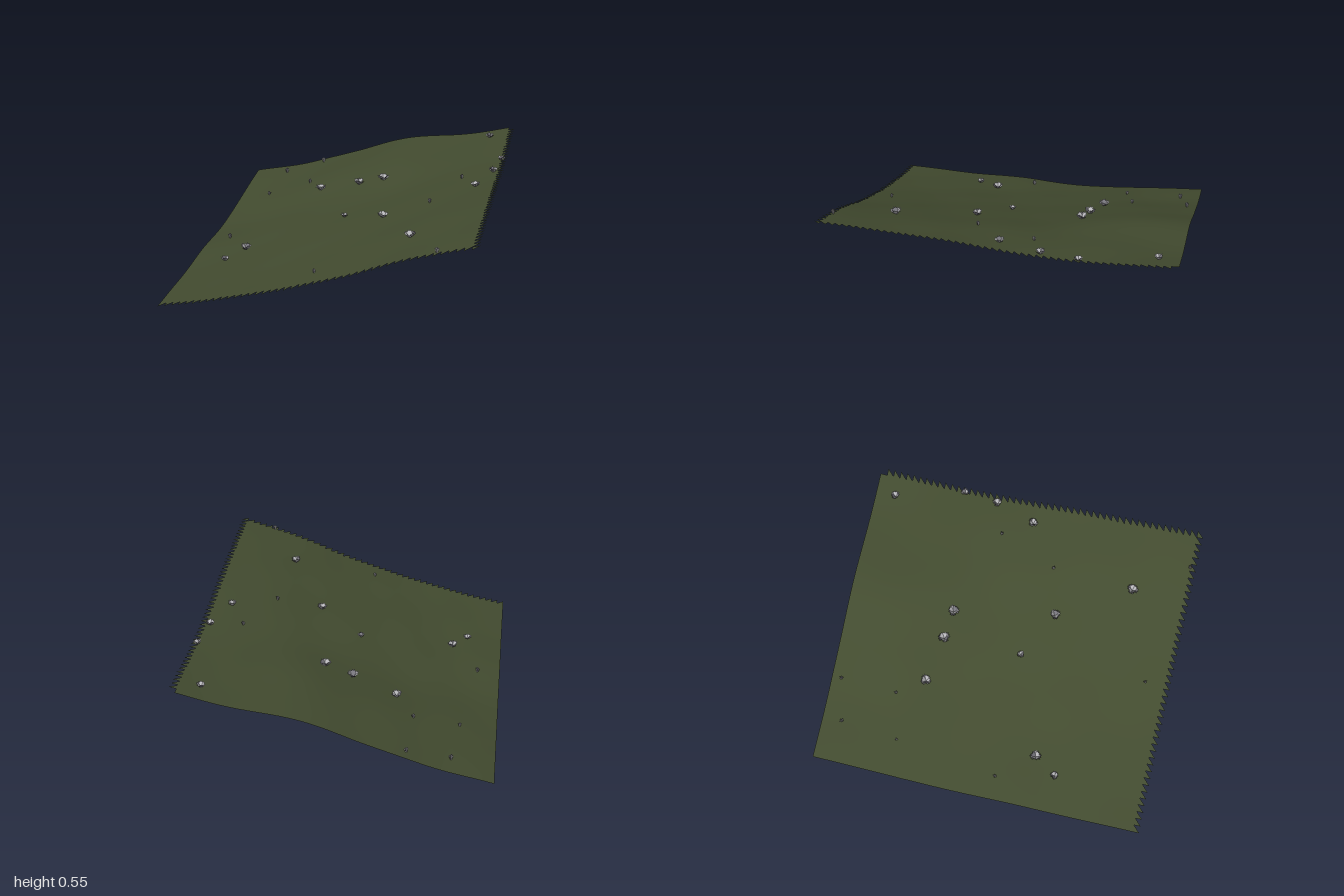
import * as THREE from 'three';

const grass = new THREE.MeshStandardMaterial({ color: 0x434c30, side: THREE.DoubleSide });
grass.name = 'mossGreen';
const paleLeaf = new THREE.MeshStandardMaterial({ color: 0xb9b8bc, side: THREE.DoubleSide });
paleLeaf.name = 'paleGrey';
const darkLeaf = new THREE.MeshStandardMaterial({ color: 0x77757d, side: THREE.DoubleSide });
darkLeaf.name = 'dustyGrey';

// Control heights: rows run back to front, columns right to left
const HEIGHTS = [
  [0.065, 0.145, 0.265, 0.385, 0.433, 0.515],
  [0.036, 0.130, 0.250, 0.368, 0.425, 0.492],
  [0.004, 0.102, 0.207, 0.322, 0.425, 0.490],
  [0.022, 0.100, 0.205, 0.320, 0.435, 0.523],
  [0.020, 0.100, 0.200, 0.320, 0.445, 0.545],
  [0.030, 0.105, 0.200, 0.318, 0.453, 0.555],
];

// Smooth curve through evenly spaced values, t from 0 to 1
function spline(v, t) {
  const n = v.length - 1;
  const i = Math.min(n - 1, Math.floor(t * n));
  const f = t * n - i;
  const b = v[i], c = v[i + 1];
  const a = i > 0 ? v[i - 1] : 2 * b - c;
  const d = i + 2 <= n ? v[i + 2] : 2 * c - b;
  return b + 0.5 * f * (c - a + f * (2 * a - 5 * b + 4 * c - d + f * (3 * (b - c) + d - a)));
}

function heightAt(x, z) {
  const u = THREE.MathUtils.clamp((x + 0.88) / 1.752, 0, 1);
  const v = THREE.MathUtils.clamp((z + 1) / 2, 0, 1);
  const ripple = 0.0025 * Math.sin(11 * x + 3 * z) * Math.sin(9 * z - 4 * x);
  return Math.max(0, spline(HEIGHTS.map((row) => spline(row, u)), v) + ripple);
}

// Sloping ground, with half cells forming the serrated left and front edges
function makeGround() {
  const nx = 43, nz = 49, step = 1.752 / (nx + 1);
  const positions = [], index = [];
  for (let j = 0; j <= nz + 1; j++) {
    for (let i = 0; i <= nx + 1; i++) {
      const x = -0.88 + i * step, z = -1 + (j * 1.995) / (nz + 1);
      positions.push(x, heightAt(x, z), z);
    }
  }
  for (let j = 0; j <= nz; j++) {
    for (let i = 0; i <= nx; i++) {
      if (i === nx && j === 0) continue;
      const a = j * (nx + 2) + i, b = a + nx + 2;
      index.push(a, b, a + 1);
      if (i < nx && j < nz) index.push(a + 1, b, b + 1);
    }
  }
  const g = new THREE.BufferGeometry();
  g.setAttribute('position', new THREE.Float32BufferAttribute(positions, 3));
  g.setIndex(index);
  g.computeVertexNormals();
  const mesh = new THREE.Mesh(g, grass);
  mesh.name = 'ground';
  return mesh;
}

// Ragged leaf spray, narrow at the root and jagged at the tip
const spray = new THREE.ShapeGeometry(new THREE.Shape([
  [-0.004, 0], [0.004, 0], [0.013, 0.022], [0.016, 0.034], [0.009, 0.031], [0.007, 0.042],
  [0.001, 0.034], [-0.006, 0.043], [-0.008, 0.031], [-0.016, 0.035], [-0.012, 0.02],
].map(([x, y]) => new THREE.Vector2(x, y))));

// Ring of sprays leaning outward by the given angle
function makeTuft(name, x, z, size, count, lean, turn) {
  const tuft = new THREE.Group();
  tuft.name = name;
  for (let k = 0; k < count; k++) {
    const leaf = new THREE.Mesh(spray, k % 3 === 1 ? darkLeaf : paleLeaf);
    leaf.name = 'leafSpray';
    leaf.rotation.order = 'YXZ';
    leaf.rotation.y = turn + (k / count) * Math.PI * 2;
    leaf.rotation.x = lean * (k % 2 ? 1 : 0.75);
    tuft.add(leaf);
  }
  tuft.scale.setScalar(size);
  tuft.position.set(x, heightAt(x, z) - 0.002, z);
  return tuft;
}

export function createModel() {
  const model = new THREE.Group();
  model.name = 'hillside';
  model.add(makeGround());

  // Spreading tufts: x, z, size
  [
    [0.72, -0.88, 0.9], [-0.3, -0.44, 1.1], [-0.04, -0.39, 1.15], [0.12, -0.37, 1.15],
    [0.835, -0.47, 0.8], [0.81, -0.26, 0.95], [0.73, -0.02, 0.95], [-0.03, 0.08, 0.75],
    [0.23, 0.23, 1.05], [-0.58, 0.3, 1.1], [-0.665, 0.435, 0.85], [0.46, 0.65, 1.1],
  ].forEach(([x, z, s], i) => model.add(makeTuft('spreadingTuft', x, z, s, 7, 0.85, i * 1.3)));

  // Upright tufts: x, z, size
  [
    [0.65, 0.955, 0.8], [0.49, 0.16, 0.7], [0.63, -0.19, 0.7], [-0.03, 0.84, 0.65],
    [-0.745, 0.09, 0.8], [-0.41, -0.6, 0.7], [-0.4, -0.94, 0.8], [-0.67, -0.535, 0.65],
    [-0.64, -0.88, 0.85],
  ].forEach(([x, z, s], i) => model.add(makeTuft('uprightTuft', x, z, s, 5, 0.08, i * 1.1)));

  return model;
}
